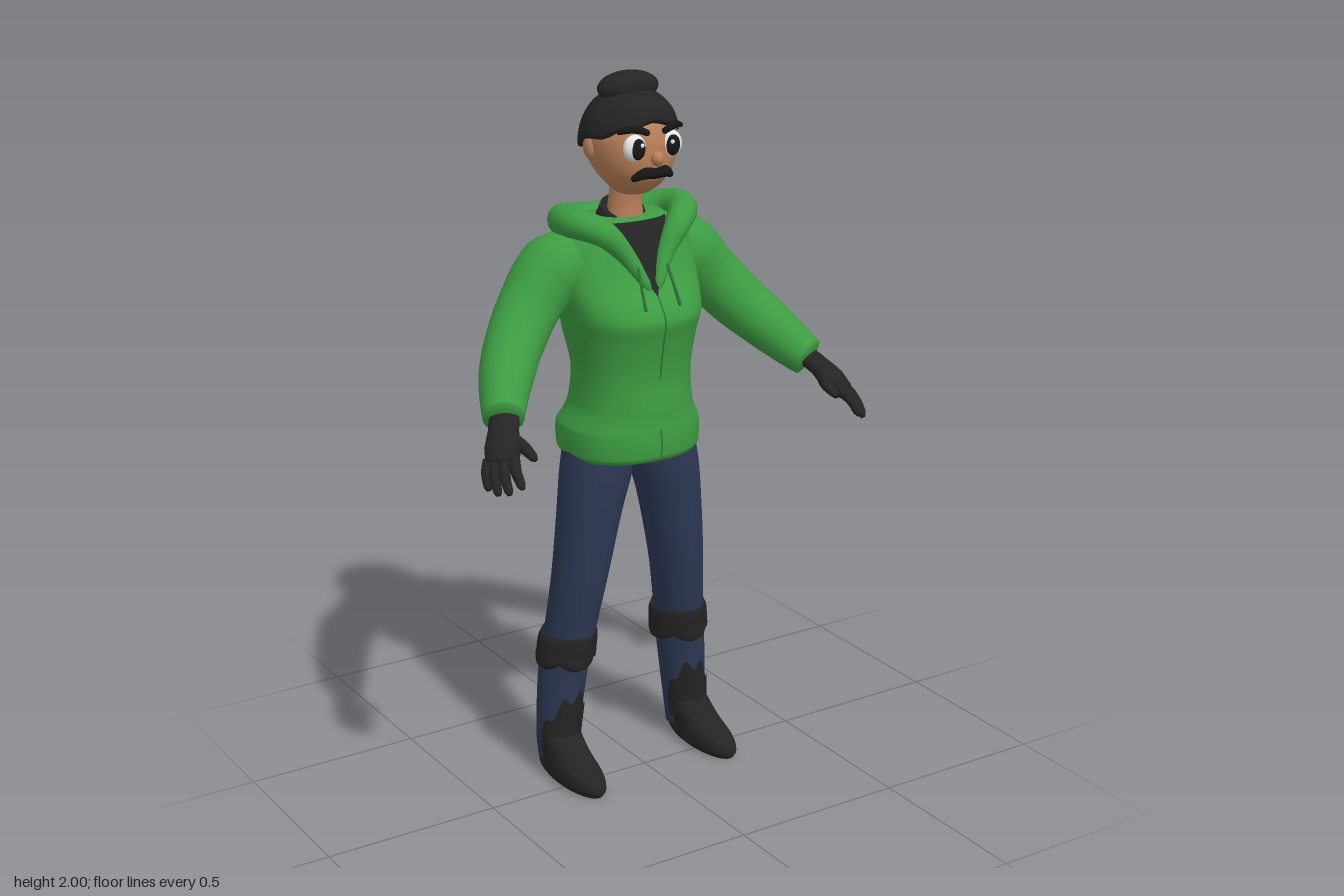
import * as THREE from 'three';

const mat = (name, color) => Object.assign(new THREE.MeshStandardMaterial({ color }), { name });
const V = (x, y, z) => new THREE.Vector3(x, y, z);

// Closed skin over a list of rings, each ring an array of points
function skin(rings) {
  const n = rings[0].length, pos = [], idx = [];
  rings.forEach(r => r.forEach(p => pos.push(p.x, p.y, p.z)));
  for (let i = 0; i < rings.length - 1; i++)
    for (let j = 0; j < n; j++) {
      const k = (j + 1) % n, a = i * n + j, b = i * n + k;
      idx.push(a, a + n, b, b, a + n, b + n);
    }
  const cap = (ring, base, flip) => {
    const c = ring.reduce((s, p) => s.add(p), V(0, 0, 0)).divideScalar(n), ci = pos.length / 3;
    pos.push(c.x, c.y, c.z);
    for (let j = 0; j < n; j++) {
      const k = (j + 1) % n;
      if (flip) idx.push(ci, base + j, base + k); else idx.push(ci, base + k, base + j);
    }
  };
  cap(rings[0], 0, true);
  cap(rings[rings.length - 1], (rings.length - 1) * n, false);
  return finish(pos, idx);
}

function finish(pos, idx) {
  const g = new THREE.BufferGeometry();
  g.setAttribute('position', new THREE.Float32BufferAttribute(pos, 3));
  g.setIndex(idx);
  g.computeVertexNormals();
  return g;
}

// Smoothly interpolated cross-section [y, cx, cz, rx, rz] at height y
function sectionAt(keys, y) {
  let i = 0;
  while (i < keys.length - 2 && y > keys[i + 1][0]) i++;
  const a = keys[i], b = keys[i + 1], p = keys[i - 1] || a, q = keys[i + 2] || b;
  const h = b[0] - a[0], t = (y - a[0]) / h, t2 = t * t, t3 = t2 * t;
  return a.map((v, k) => k === 0 ? y :
    (2 * t3 - 3 * t2 + 1) * v + (t3 - 2 * t2 + t) * h * (b[k] - p[k]) / (b[0] - p[0]) +
    (3 * t2 - 2 * t3) * b[k] + (t3 - t2) * h * (q[k] - v) / (q[0] - a[0]));
}

const pw = (v, e) => Math.sign(v) * Math.abs(v) ** e;

// Stack of horizontal super-ellipses; warp may move each point
function loft(keys, { e = 1, sub = 4, seg = 36, warp } = {}) {
  const rings = [];
  for (let i = 0; i < keys.length; i++)
    for (let s = 0; s < (i < keys.length - 1 ? sub : 1); s++) {
      const y = i < keys.length - 1 ? keys[i][0] + (keys[i + 1][0] - keys[i][0]) * s / sub : keys[i][0];
      const [, cx, cz, rx, rz] = sectionAt(keys, y);
      rings.push(Array.from({ length: seg }, (_, j) => {
        const a = j / seg * Math.PI * 2;
        const p = V(cx + rx * pw(Math.cos(a), e), y, cz + rz * pw(Math.sin(a), e));
        if (warp) warp(p, a);
        return p;
      }));
    }
  return skin(rings);
}

// Tube of varying radius through points [x, y, z, r], height scaled by flat
function sweep(pts, { steps = 24, seg = 16, flat = 1 } = {}) {
  const curve = new THREE.CatmullRomCurve3(pts.map(p => V(p[0], p[1], p[2])));
  const rings = [];
  for (let i = 0; i <= steps; i++) {
    const t = i / steps, f = t * (pts.length - 1), k = Math.min(Math.floor(f), pts.length - 2);
    let r = THREE.MathUtils.lerp(pts[k][3], pts[k + 1][3], f - k);
    if (i === 0 || i === steps) r *= 0.6;
    const c = curve.getPoint(t), T = curve.getTangent(t);
    const N = T.clone().cross(V(0, 1, 0)).normalize(), B = T.clone().cross(N);
    rings.push(Array.from({ length: seg }, (_, j) => {
      const a = j / seg * Math.PI * 2;
      return c.clone().addScaledVector(N, r * Math.cos(a)).addScaledVector(B, -r * flat * Math.sin(a));
    }));
  }
  return skin(rings);
}

// Open sheet: f(u, v), u to the right and v up
function patch(f, nu = 20, nv = 16) {
  const pos = [], idx = [], w = nu + 1;
  for (let j = 0; j <= nv; j++) for (let i = 0; i <= nu; i++) pos.push(...f(i / nu, j / nv));
  for (let j = 0; j < nv; j++) for (let i = 0; i < nu; i++) {
    const a = j * w + i;
    idx.push(a, a + 1, a + w, a + 1, a + w + 1, a + w);
  }
  return finish(pos, idx);
}

export function createModel() {
  const root = new THREE.Group();
  const green = mat('hoodie green', 0x3d9c42), seam = mat('seam green', 0x2b7531);
  const denim = mat('denim', 0x2d3854), black = mat('black cloth', 0x242424);
  const skinTone = mat('skin', 0xba8059), white = mat('eye white', 0xe8e8e8), dark = mat('dark eye and hair', 0x161616);
  const add = (name, geo, m) => {
    const mesh = new THREE.Mesh(geo, m);
    mesh.name = name;
    root.add(mesh);
    return mesh;
  };
  const ball = (name, m, p, r) => {
    const b = add(name, new THREE.SphereGeometry(1, 24, 16), m);
    b.position.set(...p);
    b.scale.set(...r);
    return b;
  };

  // Hoodie body
  const torso = [[0.955, 0, -0.09, 0.188, 0.164], [0.97, 0, -0.09, 0.196, 0.172], [1.035, 0, -0.09, 0.196, 0.172],
    [1.06, 0, -0.083, 0.184, 0.162], [1.1, 0, -0.077, 0.168, 0.155], [1.2, 0, -0.072, 0.162, 0.148],
    [1.3, 0, -0.08, 0.178, 0.172], [1.36, 0, -0.075, 0.19, 0.177], [1.45, 0, -0.1, 0.205, 0.138],
    [1.52, 0, -0.115, 0.2, 0.12], [1.57, 0, -0.12, 0.175, 0.105], [1.61, 0, -0.12, 0.115, 0.085]];
  const E = 0.85;
  add('hoodieBody', loft(torso, { e: E, seg: 48 }), green);
  const onChest = (x, y, off) => {
    const [, , cz, rx, rz] = sectionAt(torso, y);
    return [x, y, cz + rz * Math.max(0, 1 - Math.abs(x / rx) ** (2 / E)) ** (E / 2) + off];
  };
  const chestPatch = (y0, y1, w0, w1, off) => patch((u, v) =>
    onChest((u * 2 - 1) * (w0 + (w1 - w0) * v), y0 + (y1 - y0) * v, off));
  add('shirtFront', chestPatch(1.42, 1.605, 0.002, 0.1, 0.005), black);
  add('zip', chestPatch(0.965, 1.425, 0.003, 0.003, 0.003), seam);
  add('frontPocket', chestPatch(1.05, 1.19, 0.125, 0.075, 0.005), green);

  // Hood folded down on the shoulders
  const half = [[0.012, 1.43, 0.045, 0.012], [0.06, 1.52, 0.01, 0.024], [0.115, 1.585, -0.015, 0.036],
    [0.165, 1.61, -0.07, 0.042], [0.165, 1.605, -0.145, 0.044], [0.1, 1.585, -0.205, 0.045]];
  const other = half.map(([x, y, z, r]) => [-x, y, z, r]).reverse();
  add('hoodRim', sweep([...half, [0, 1.575, -0.222, 0.045], ...other], { steps: 60 }), green);
  ball('hoodPouch', green, [0, 1.535, -0.205], [0.165, 0.075, 0.07]);

  // Neck and shirt collar
  add('neck', loft([[1.55, 0, -0.1, 0.06, 0.05], [1.63, 0, -0.1, 0.05, 0.042], [1.7, 0, -0.09, 0.045, 0.04]]), skinTone);
  add('shirtCollar', loft([[1.56, 0, -0.115, 0.1, 0.082], [1.6, 0, -0.115, 0.075, 0.058], [1.63, 0, -0.112, 0.062, 0.05]],
    { warp: (p, a) => { if (p.y > 1.59) p.y -= 0.022 * Math.sin(a); } }), black);

  // Head
  add('head', loft([[1.673, 0, -0.06, 0.015, 0.015], [1.682, 0, -0.06, 0.045, 0.046], [1.71, 0, -0.06, 0.076, 0.085],
    [1.75, 0, -0.064, 0.105, 0.115], [1.8, 0, -0.072, 0.122, 0.129], [1.85, 0, -0.08, 0.125, 0.13],
    [1.9, 0, -0.08, 0.1, 0.108]]), skinTone);
  ball('nose', skinTone, [0, 1.79, 0.06], [0.017, 0.02, 0.02]);
  add('moustache', sweep([[-0.062, 1.735, 0.032, 0.008], [-0.03, 1.752, 0.05, 0.016], [0, 1.75, 0.055, 0.014],
    [0.03, 1.752, 0.05, 0.016], [0.062, 1.735, 0.032, 0.008]]), dark);

  // Knitted cap with a low front-to-back slant and a folded crown
  const capRings = Array.from({ length: 13 }, (_, i) => Array.from({ length: 40 }, (_, j) => {
    const t = i / 12 * 1.5, a = j / 40 * Math.PI * 2, s = Math.sin(a);
    const edge = 1.832 + (s > 0 ? 0.05 * s * s : 0.055 * s) + 0.004 * Math.sin(a * 9);
    const r = Math.cos(t) ** 0.85;
    return V(0.134 * r * Math.cos(a), edge + (1.957 - edge) * Math.sin(t), -0.084 + 0.135 * r * s);
  }));
  add('cap', skin(capRings), black);
  ball('capCrown', black, [0, 1.957, -0.083], [0.091, 0.043, 0.05]);

  const legKeys = s => [[0.04, 0.218 * s, -0.122, 0.055, 0.058], [0.1, 0.217 * s, -0.124, 0.06, 0.063],
    [0.3, 0.2 * s, -0.12, 0.07, 0.071], [0.45, 0.18 * s, -0.105, 0.07, 0.081], [0.6, 0.16 * s, -0.088, 0.076, 0.088],
    [0.8, 0.13 * s, -0.08, 0.09, 0.097], [0.9, 0.11 * s, -0.081, 0.099, 0.106], [1.0, 0.095 * s, -0.085, 0.095, 0.108]];

  for (const s of [1, -1]) {
    const side = s > 0 ? 'left' : 'right';
    const m = pts => pts.map(([x, ...rest]) => [x * s, ...rest]);

    // Face details
    ball(side + 'Eye', white, [0.056 * s, 1.82, 0.038], [0.033, 0.036, 0.022]);
    ball(side + 'Pupil', dark, [0.054 * s, 1.819, 0.053], [0.021, 0.028, 0.011]);
    ball(side + 'EyeGlint', white, [0.047 * s, 1.83, 0.062], [0.006, 0.006, 0.004]);
    add(side + 'Brow', sweep(m([[0.022, 1.858, 0.055, 0.008], [0.06, 1.872, 0.05, 0.011], [0.1, 1.862, 0.022, 0.006]])), dark);
    ball(side + 'Ear', skinTone, [0.122 * s, 1.81, -0.08], [0.014, 0.032, 0.022]);

    // Drawstring
    add(side + 'Drawstring', sweep(m([[0.045, 1.5, 0.036, 0.004], [0.05, 1.45, 0.062, 0.004],
      [0.054, 1.39, 0.092, 0.005]]), { seg: 8 }), seam);

    // Sleeve
    add(side + 'Sleeve', sweep(m([[0.14, 1.495, -0.125, 0.09], [0.21, 1.475, -0.13, 0.098], [0.285, 1.4, -0.118, 0.086],
      [0.36, 1.315, -0.075, 0.08], [0.425, 1.245, -0.01, 0.073], [0.47, 1.19, 0.055, 0.06], [0.49, 1.168, 0.09, 0.054]]),
      { steps: 36, seg: 24 }), green);

    // Gloved hand
    add(side + 'Palm', sweep(m([[0.475, 1.185, 0.07, 0.04], [0.505, 1.15, 0.115, 0.04], [0.527, 1.115, 0.15, 0.048],
      [0.547, 1.08, 0.178, 0.042]]), { flat: 0.65 }), black);
    const fingers = [[0.518, 1.1, 0.188, 0.535, 1.042, 0.265], [0.54, 1.092, 0.178, 0.563, 1.026, 0.247],
      [0.556, 1.09, 0.162, 0.582, 1.02, 0.222], [0.563, 1.092, 0.142, 0.593, 1.026, 0.19]];
    for (const [x, y, z, X, Y, Z] of fingers)
      add(side + 'Finger', sweep(m([[x, y, z, 0.017], [(x + X) / 2 + 0.006, (y + Y) / 2 + 0.006, (z + Z) / 2, 0.015],
        [X, Y, Z, 0.011]]), { steps: 10, seg: 10 }), black);
    add(side + 'Thumb', sweep(m([[0.5, 1.14, 0.13, 0.02], [0.482, 1.118, 0.18, 0.017], [0.478, 1.1, 0.232, 0.011]]),
      { steps: 10, seg: 10 }), black);

    // Trouser leg
    const keys = legKeys(s);
    add(side + 'TrouserLeg', loft(keys), denim);

    // Folded cuff below the knee, with a scalloped lower edge
    add(side + 'KneeCuff', loft([[0.325, 0.193 * s, -0.118, 0.072, 0.074], [0.335, 0.191 * s, -0.118, 0.084, 0.086],
      [0.37, 0.189 * s, -0.117, 0.085, 0.087], [0.415, 0.185 * s, -0.113, 0.083, 0.087],
      [0.43, 0.183 * s, -0.111, 0.077, 0.083]], {
      seg: 48,
      warp: (p, a) => {
        const w = Math.abs(Math.cos(a * 2)), cx = 0.188 * s, k = 0.96 + 0.07 * w;
        p.x = cx + (p.x - cx) * k;
        p.z = -0.115 + (p.z + 0.115) * k;
        if (p.y < 0.36) p.y += 0.018 * (1 - w);
      }
    }), black);

    // Ragged boot tongue climbing the shin
    add(side + 'BootTongue', patch((u, v) => {
      const a = Math.PI * (0.93 - 0.86 * u), inner = s > 0 ? 1 - u : u;
      const top = 0.12 + 0.15 * Math.sin(Math.PI * u) ** 0.7 * (0.65 + 0.35 * inner) + 0.018 * Math.sin(u * 23);
      const y = 0.07 + (top - 0.07) * v, [, cx, cz, rx, rz] = sectionAt(keys, y);
      return [cx + (rx + 0.005) * Math.cos(a), y, cz + (rz + 0.005) * Math.sin(a)];
    }, 32, 12), black);

    // Shoe
    add(side + 'Shoe', loft([[0.003, 0.222 * s, -0.035, 0.05, 0.145], [0.02, 0.222 * s, -0.035, 0.06, 0.156],
      [0.05, 0.221 * s, -0.043, 0.059, 0.146], [0.075, 0.22 * s, -0.073, 0.057, 0.114],
      [0.1, 0.219 * s, -0.1, 0.058, 0.087], [0.125, 0.217 * s, -0.118, 0.058, 0.066]]), black);
  }
  return root;
}
